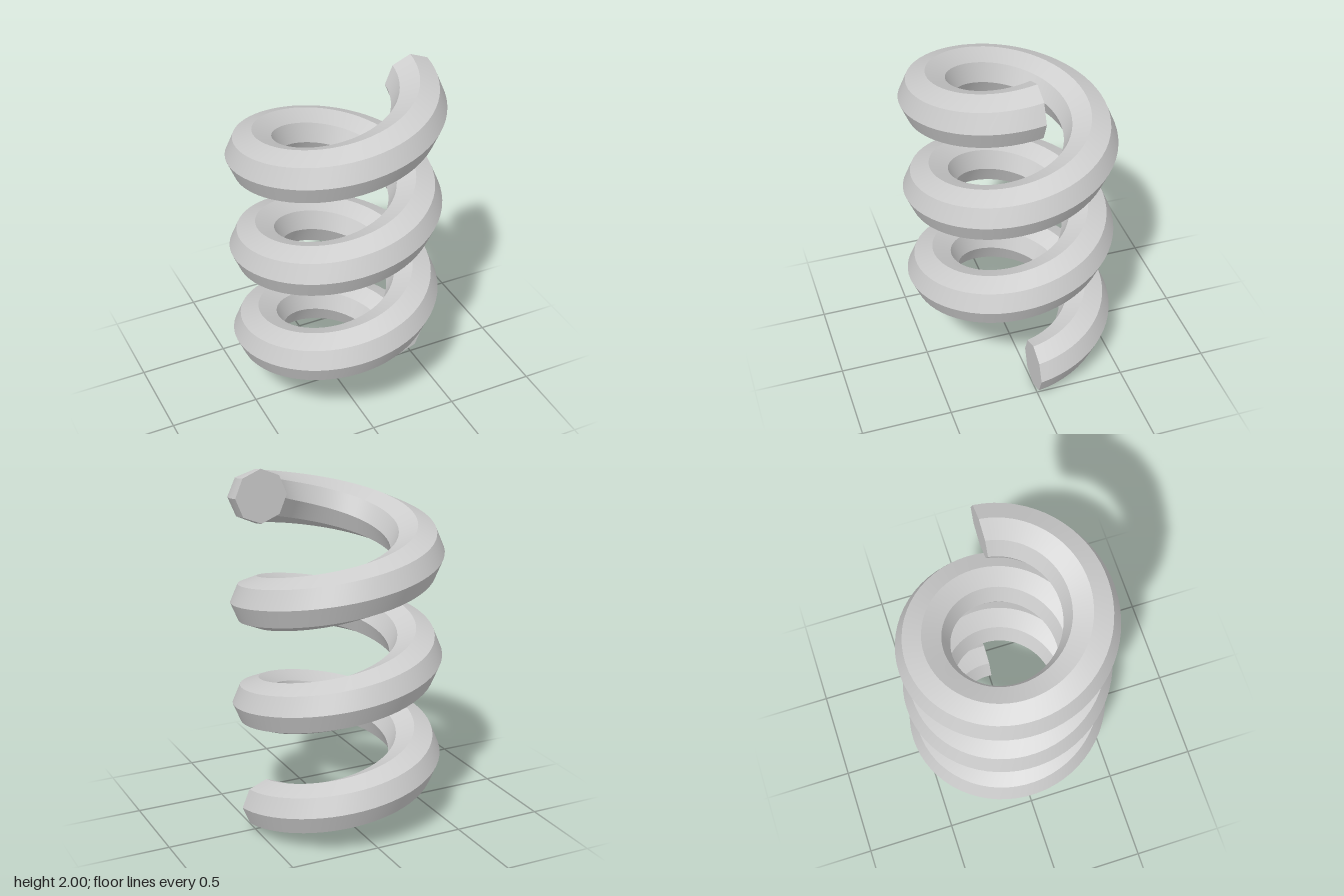
import * as THREE from 'three';

const WIRE = 1 / 7;       // octagonal wire radius
const COIL = 3 / 7;       // coil radius to the wire centre
const PITCH = 4 / 7;      // rise per turn
const TURNS = 3, STEPS = 64, SIDES = 8;

// Sweeps an upright octagon along the helix; each side is its own strip, so
// the long edges stay sharp while the surface is smooth along the coil.
function coilGeometry() {
  const position = [], index = [], count = TURNS * STEPS;
  for (let side = 0; side < SIDES; side++) {
    const base = position.length / 3;
    for (let i = 0; i <= count; i++) {
      const turn = (i / STEPS) * Math.PI * 2;
      for (const k of [side, side + 1]) {
        const a = (k / SIDES) * Math.PI * 2;
        const r = COIL + WIRE * Math.cos(a);
        position.push(
          r * Math.cos(turn),
          WIRE + PITCH * i / STEPS + WIRE * Math.sin(a),
          -r * Math.sin(turn)
        );
      }
      if (i < count) {
        const p = base + i * 2;
        index.push(p, p + 2, p + 3, p, p + 3, p + 1);
      }
    }
  }
  const geometry = new THREE.BufferGeometry();
  geometry.setAttribute('position', new THREE.Float32BufferAttribute(position, 3));
  geometry.setIndex(index);
  geometry.computeVertexNormals();
  return geometry;
}

export function createModel() {
  const group = new THREE.Group();
  group.name = 'coilSpring';
  const material = new THREE.MeshStandardMaterial({ color: 0xcccccc });

  const coil = new THREE.Mesh(coilGeometry(), material);
  coil.name = 'coil';
  group.add(coil);

  // Flat octagonal ends: the lower faces forward, the upper faces back
  const capGeometry = new THREE.CircleGeometry(WIRE, SIDES);
  const addCap = (name, y, turn) => {
    const cap = new THREE.Mesh(capGeometry, material);
    cap.name = name;
    cap.position.set(COIL, y, 0);
    cap.rotation.y = turn;
    group.add(cap);
  };
  addCap('lowerEnd', WIRE, 0);
  addCap('upperEnd', WIRE + PITCH * TURNS, Math.PI);

  return group;
}
